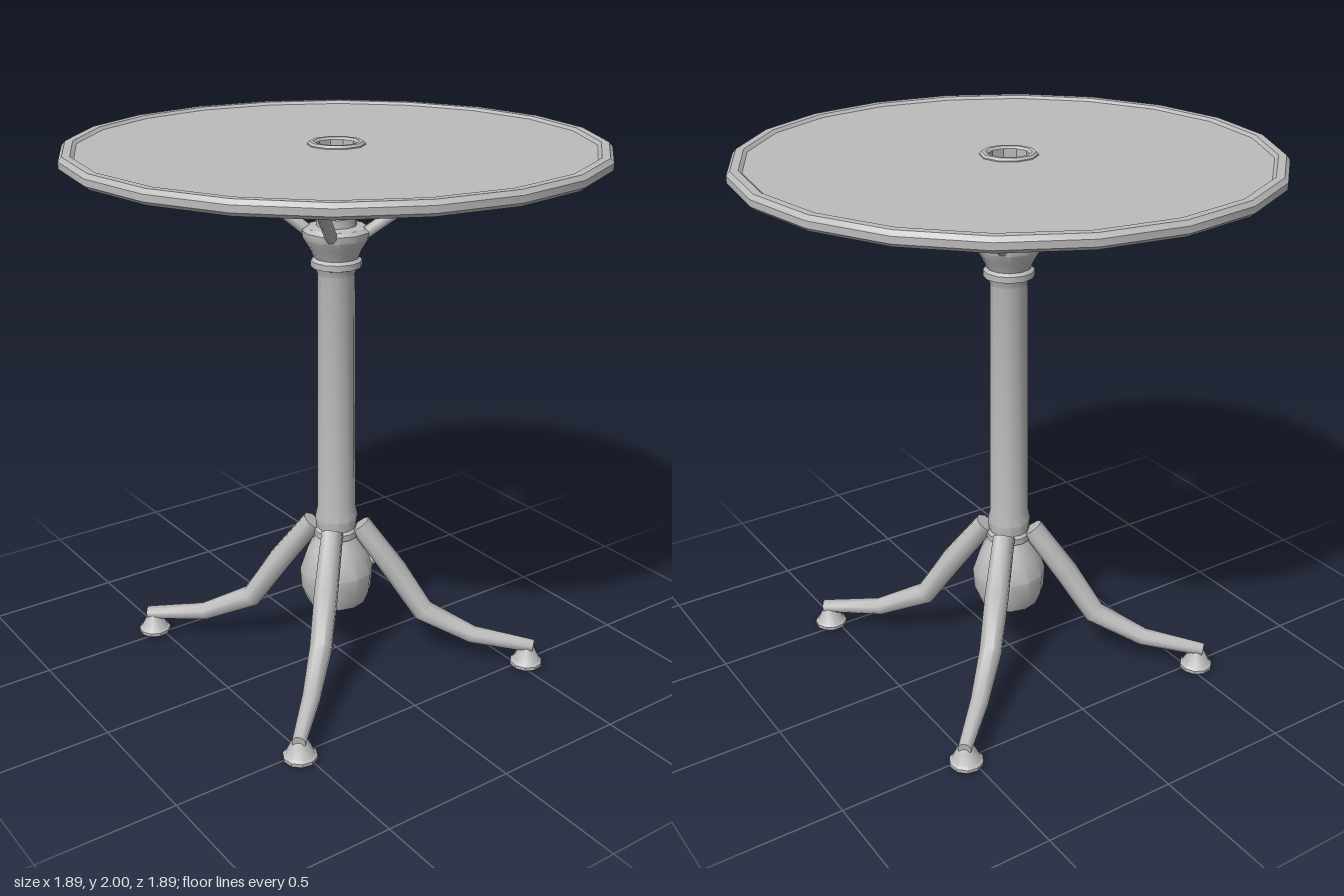
import * as THREE from 'three';
import { toCreasedNormals } from 'three/addons/utils/BufferGeometryUtils.js';

const metal = new THREE.MeshStandardMaterial({ color: 0xbcbcbc });
metal.name = 'grey metal';

function part(name, geometry, crease = 0.6) {
  const mesh = new THREE.Mesh(toCreasedNormals(geometry, crease), metal);
  mesh.name = name;
  return mesh;
}

// Turned part from [radius, height] pairs, listed bottom, outside, top
function turned(name, profile, sides, start = 0) {
  const points = profile.map(([r, y]) => new THREE.Vector2(r, y));
  return part(name, new THREE.LatheGeometry(points, sides, start));
}

// Bent tapering bar through [x, y, radius] stations in the XY plane, with mitred joints
function limb(name, stations, sides = 8) {
  const pts = stations.map(([x, y]) => new THREE.Vector2(x, y));
  const pos = [], index = [], last = pts.length - 1;
  pts.forEach((p, i) => {
    const a = p.clone().sub(pts[Math.max(i - 1, 0)]).normalize();
    const b = pts[Math.min(i + 1, last)].clone().sub(p).normalize();
    const t = a.add(b).normalize(), r = stations[i][2];
    for (let j = 0; j < sides; j++) {
      const ang = ((j + 0.5) / sides) * Math.PI * 2, c = Math.cos(ang) * r;
      pos.push(p.x - t.y * c, p.y + t.x * c, Math.sin(ang) * r);
    }
  });
  for (let i = 0; i < last; i++) {
    for (let j = 0; j < sides; j++) {
      const a = i * sides + j, b = i * sides + ((j + 1) % sides);
      index.push(a, b, a + sides, b, b + sides, a + sides);
    }
  }
  // End caps
  const end = last * sides;
  for (let j = 1; j < sides - 1; j++) {
    index.push(0, j + 1, j, end, end + j, end + j + 1);
  }
  const g = new THREE.BufferGeometry();
  g.setAttribute('position', new THREE.Float32BufferAttribute(pos, 3));
  g.setIndex(index);
  return part(name, g, 0.9);
}

export function createModel() {
  const table = new THREE.Group();
  table.name = 'pedestalTable';

  // Round top with a raised rim and an open centre
  table.add(turned('tableTop', [
    [0.09, 1.955], [0.89, 1.955], [0.9, 1.947], [0.93, 1.947], [0.945, 1.96], [0.945, 1.983],
    [0.932, 1.998], [0.905, 1.998], [0.893, 1.988], [0.09, 1.988], [0.09, 1.955],
  ], 20));
  table.add(turned('centreHoleRim', [
    [0.072, 1.95], [0.1, 1.95], [0.101, 1.992], [0.094, 2], [0.08, 2], [0.072, 1.992], [0.072, 1.95],
  ], 10, Math.PI / 2));

  // Flat ring under the top that the arms carry
  table.add(turned('supportRing', [
    [0.55, 1.934], [0.595, 1.934], [0.595, 1.956], [0.55, 1.956], [0.55, 1.934],
  ], 20));

  // Column with bulb, lower collar, upper collar and flared head
  table.add(turned('column', [
    [0, 0.23], [0.115, 0.23], [0.135, 0.28], [0.14, 0.36], [0.11, 0.45], [0.075, 0.5],
    [0.086, 0.506], [0.086, 0.53], [0.076, 0.54], [0.081, 0.58], [0.073, 0.62],
    [0.067, 1.53], [0.076, 1.555], [0.092, 1.56], [0.092, 1.582], [0.08, 1.592],
    [0.098, 1.63], [0.12, 1.665], [0.122, 1.69], [0.108, 1.703], [0.072, 1.708],
    [0.072, 1.738], [0, 1.738],
  ], 12));

  // Four arms, legs and feet on the diagonals
  const d = Math.SQRT2;
  for (let k = 0; k < 4; k++) {
    const quarter = new THREE.Group();
    quarter.name = 'supportQuarter' + (k + 1);
    quarter.rotation.y = Math.PI / 4 + (k * Math.PI) / 2;
    quarter.add(limb('arm', [
      [0.07 * d, 1.68, 0.022], [0.222 * d, 1.838, 0.022], [0.41 * d, 1.925, 0.02],
    ]));
    quarter.add(limb('leg', [
      [0.064 * d, 0.55, 0.042], [0.16 * d, 0.37, 0.046], [0.24 * d, 0.2, 0.043],
      [0.377 * d, 0.112, 0.034], [0.543 * d, 0.083, 0.025],
    ]));
    const foot = turned('foot', [
      [0, 0], [0.055, 0], [0.062, 0.008], [0.062, 0.02], [0.052, 0.027],
      [0.034, 0.066], [0.022, 0.085], [0, 0.085],
    ], 10);
    foot.position.x = 0.526 * d;
    quarter.add(foot);
    table.add(quarter);
  }
  return table;
}
